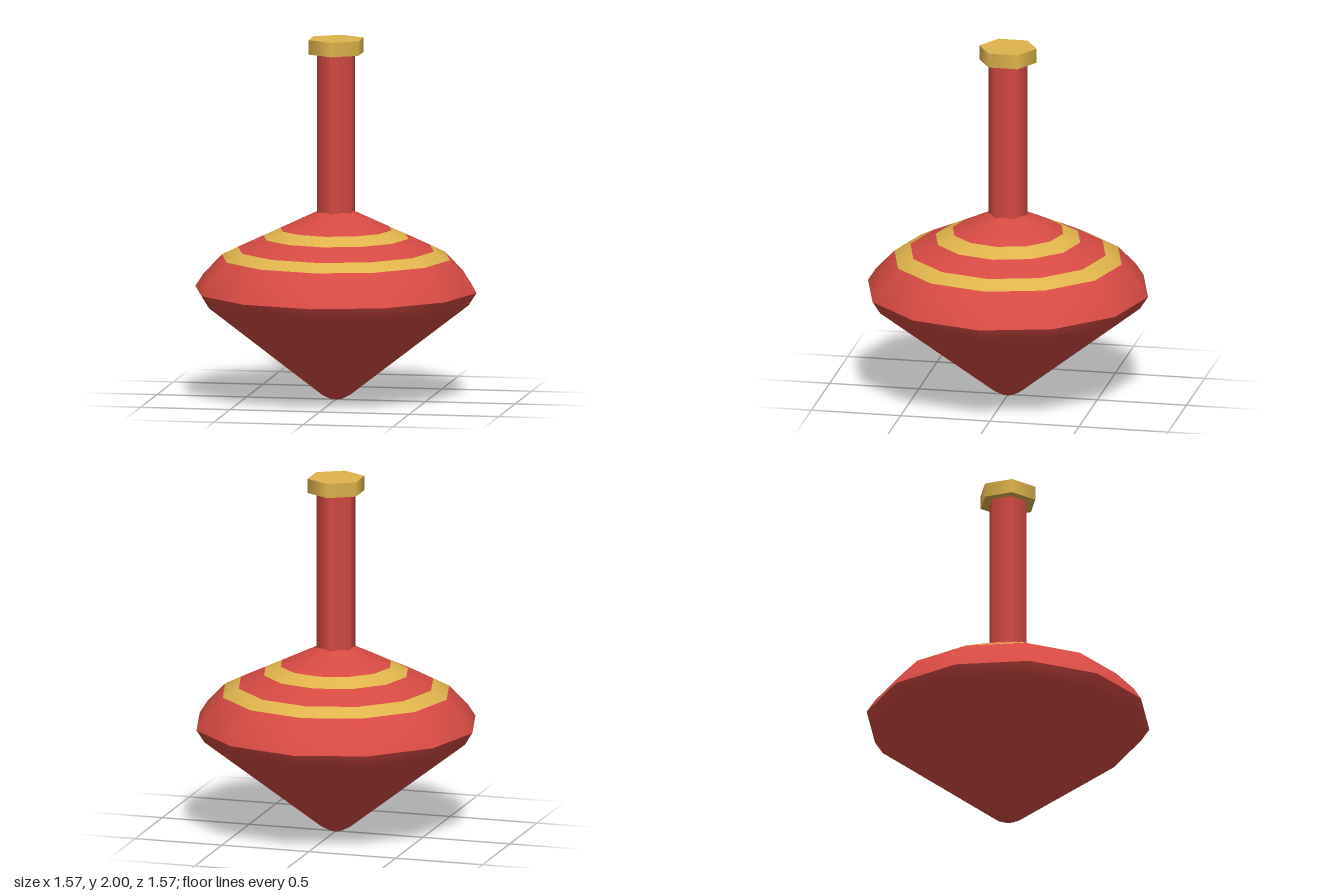
import * as THREE from 'three';

const SIDES = 12;

function lathe(profile, material, name) {
  const points = profile.map(([r, y]) => new THREE.Vector2(r, y));
  const mesh = new THREE.Mesh(new THREE.LatheGeometry(points, SIDES), material);
  mesh.name = name;
  return mesh;
}

function hexPrism(radius, bottom, top, material, name) {
  const geometry = new THREE.CylinderGeometry(radius, radius, top - bottom, 6);
  const mesh = new THREE.Mesh(geometry, material);
  mesh.position.y = (top + bottom) / 2;
  mesh.name = name;
  return mesh;
}

export function createModel() {
  const red = new THREE.MeshStandardMaterial({ color: 0xd64a43 });
  red.name = 'red paint';
  const gold = new THREE.MeshStandardMaterial({ color: 0xe0b44c });
  gold.name = 'gold paint';

  const model = new THREE.Group();
  model.name = 'spinningTop';

  // Lower cone with a rounded tip, meeting the upper body at a sharp rim
  model.add(lathe(
    [[0, 0], [0.035, 0.005], [0.08, 0.028], [0.74, 0.54], [0.785, 0.61]],
    red, 'lowerBody'));

  // Upper body, smooth throughout, with two painted gold bands
  const upperProfile = [
    [0.785, 0.61], [0.74, 0.68], [0.637, 0.788], [0.547, 0.833],
    [0.405, 0.9], [0.31, 0.945], [0.04, 1.073],
  ];
  const bandColours = [0, 0, 1, 0, 1, 0];
  const upper = lathe(upperProfile, [red, gold], 'upperBody');
  for (let i = 0; i < SIDES; i++) {
    bandColours.forEach((colour, j) => {
      upper.geometry.addGroup((i * bandColours.length + j) * 6, 6, colour);
    });
  }
  model.add(upper);

  // Six-sided handle and its cap
  model.add(hexPrism(0.11, 1.0, 1.93, red, 'stem'));
  model.add(hexPrism(0.161, 1.92, 2, gold, 'cap'));

  return model;
}
